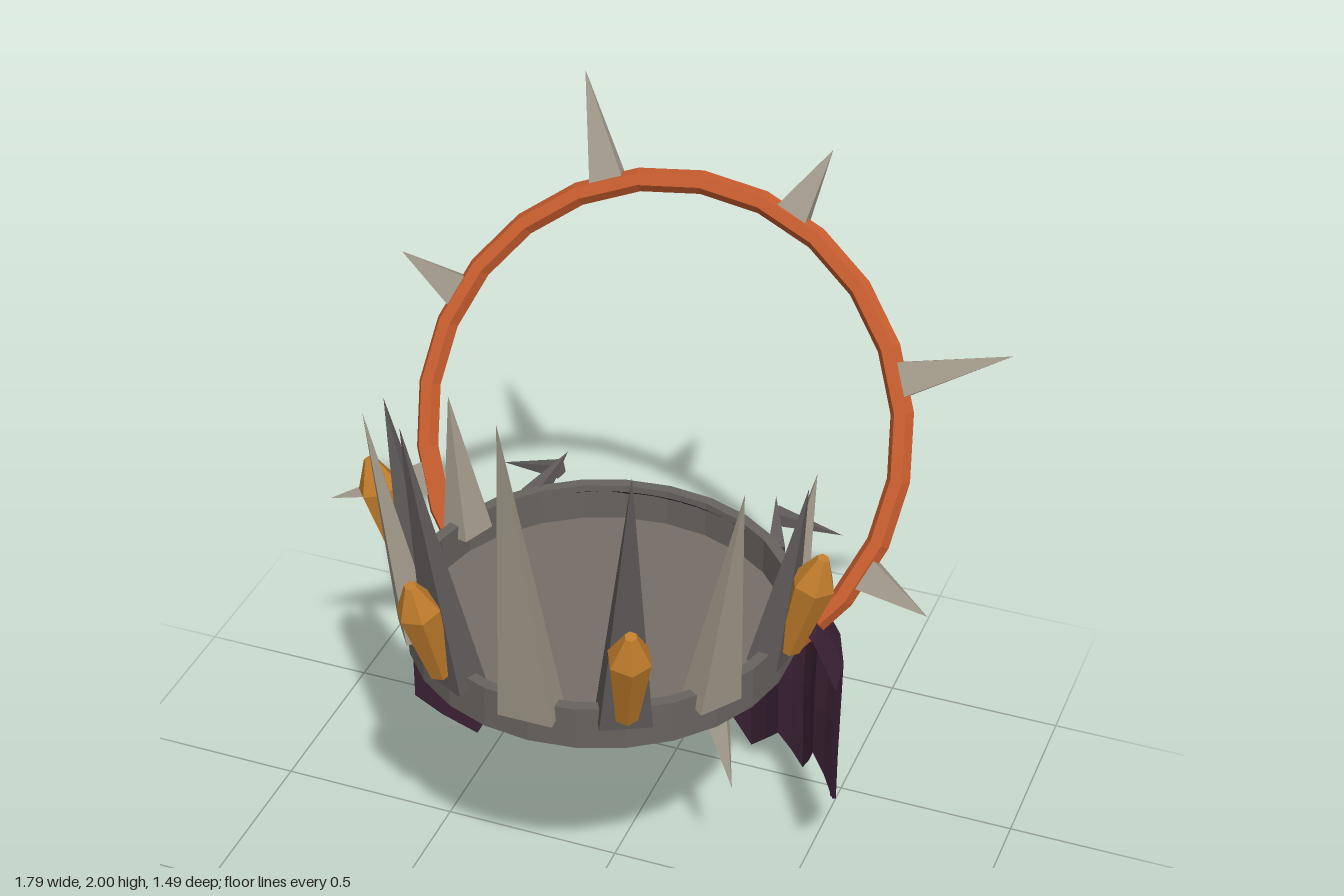
import * as THREE from 'three';

const mat = (name, color, side = THREE.FrontSide) =>
  new THREE.MeshStandardMaterial({ name, color, side, flatShading: true });

const V = (x, y, z) => new THREE.Vector3(x, y, z);
const rad = THREE.MathUtils.degToRad;

export function createModel() {
  const bone = mat('pale bone', 0xa09889);
  const iron = mat('dark iron', 0x605b5a);
  const bandGrey = mat('band grey', 0x67635f);
  const floorGrey = mat('inner grey', 0x756d68);
  const copper = mat('copper orange', 0xc55c2e);
  const amber = mat('amber', 0xc17d2c);
  const purple = mat('purple cloth', 0x3e2337, THREE.DoubleSide);

  const model = new THREE.Group();
  const add = (parent, name, geometry, material) => {
    const mesh = new THREE.Mesh(geometry, material);
    mesh.name = name;
    parent.add(mesh);
    return mesh;
  };

  // four-sided spike running from base to tip; depth is measured towards up
  const spike = (name, base, tip, width, depth, material, up = V(0, 1, 0)) => {
    const g = new THREE.ConeGeometry(Math.SQRT1_2, 1, 4)
      .rotateY(Math.PI / 4).translate(0, 0.5, 0).rotateX(Math.PI / 2);
    const mesh = add(model, name, g, material);
    mesh.position.copy(base);
    mesh.up.copy(up);
    mesh.lookAt(tip);
    mesh.scale.set(width, depth, base.distanceTo(tip));
  };

  // band with a sunken floor
  const crownZ = 0.09;
  const band = add(model, 'crownBand', new THREE.LatheGeometry([
    [0, 0.838], [0.495, 0.838], [0.51, 0.85], [0.51, 0.97], [0.48, 0.97], [0.48, 0.86],
  ].map(([x, y]) => new THREE.Vector2(x, y)), 26), bandGrey);
  band.position.z = crownZ;
  const floor = add(model, 'crownFloor', new THREE.CircleGeometry(0.485, 26).rotateX(-Math.PI / 2), floorGrey);
  floor.position.set(0, 0.865, crownZ);

  // upright spikes, tallest in front and shrinking towards the back
  const around = (r, y, a) => V(Math.sin(a) * r, y, Math.cos(a) * r + crownZ);
  const step = (Math.PI * 2) / 13;
  for (let i = -4; i <= 4; i++) {
    const n = Math.abs(i);
    spike('crownSpike', around(0.485, 0.93, i * step), around(0.655 - n * 0.028, 1.87 - n * 0.135, i * step),
      0.145 - n * 0.011, 0.085, n % 2 ? iron : bone);
  }

  // pointed crystals in front of the dark spikes
  const gemShape = [[0, 0], [0.032, 0], [0.058, 0.23], [0.016, 0.315], [0, 0.315]]
    .map(([x, y]) => new THREE.Vector2(x, y));
  for (const i of [-3, -1, 1, 3]) {
    const gem = add(model, 'crystal', new THREE.LatheGeometry(gemShape, 6), amber);
    gem.position.copy(around(0.533, 0.97, i * step));
    gem.rotation.set(0.27, i * step, 0, 'YXZ');
  }

  // bent hooks that hold the cape at the back
  for (const s of [-1, 1]) {
    spike('capeHook', V(s * 0.35, 0.93, -0.28), V(s * 0.3, 1.01, -0.42), 0.045, 0.07, iron);
    spike('capeHookTip', V(s * 0.31, 0.97, -0.39), V(s * 0.49, 0.93, -0.42), 0.04, 0.04, iron);
  }

  // tilted ring with eight flat radial spikes
  const tilt = rad(28), ringCentre = V(0, 1.21, -0.322), ringR = 0.66;
  const ring = add(model, 'ring', new THREE.TorusGeometry(ringR, 0.031, 6, 24), copper);
  ring.rotation.x = -tilt;
  ring.position.copy(ringCentre);
  const ringNormal = V(0, Math.sin(tilt), Math.cos(tilt));
  const onRing = (r, a) => V(Math.cos(a) * r, Math.sin(a) * r, 0)
    .applyAxisAngle(V(1, 0, 0), -tilt).add(ringCentre);
  for (let k = 0; k < 8; k++) {
    const a = rad(22.5 + 45 * k);
    spike('ringSpike', onRing(ringR, a), onRing(k % 2 ? 0.868 : 0.968, a), 0.095, 0.045, bone, ringNormal);
  }

  model.add(makeCape(purple, crownZ));
  return model;
}

// ragged cape: columns around the back, each a short profile from hem to collar
function makeCape(material, crownZ) {
  // angle from the back in degrees, hem height
  const hem = [[-90, 0.37], [-61, 0.06], [-50, 0.22], [-41, 0.13], [-32, 0.2], [-20.5, 0.04], [-11.5, 0.18],
    [0, 0], [11.5, 0.21], [20.5, 0.05], [33, 0.19], [41, 0.1], [51, 0.24], [61, 0.14], [90, 0.37]];
  const columns = [];
  hem.forEach(([a, y], i) => {
    columns.push([a, y]);
    const next = hem[i + 1];
    if (next) columns.push([(a + next[0]) / 2, (y + next[1]) / 2]);
  });
  const positions = [], index = [], rows = 5;
  columns.forEach(([deg, hemY], i) => {
    const a = rad(deg), c = Math.cos(a);
    const fold = i % 4 === 2 ? 0.01 : i % 4 === 0 && Math.abs(deg) < 90 ? -0.014 : 0;
    const drop = (0.37 - hemY) / 0.37;
    const profile = [
      [hemY, 0.605, 0.495 + 0.045 * drop],
      [0.41, 0.605, 0.495],
      [0.72, 0.608, 0.495],
      [0.86, 0.54, 0.435],
    ];
    profile.forEach(([y, w, d]) =>
      positions.push(Math.sin(a) * (w + fold), y, -0.025 - c * (d + fold)));
    // collar tucked through the band at the back
    const r = 0.507 - 0.035 * c, t = a * 0.89;
    positions.push(Math.sin(t) * r, 0.935 + 0.02 * c, crownZ - Math.cos(t) * r);
    if (i) for (let j = 0; j < rows - 1; j++) {
      const p = (i - 1) * rows + j, q = i * rows + j;
      index.push(p, p + 1, q, q, p + 1, q + 1);
    }
  });
  const g = new THREE.BufferGeometry();
  g.setAttribute('position', new THREE.Float32BufferAttribute(positions, 3));
  g.setIndex(index);
  g.computeVertexNormals();
  const cape = new THREE.Mesh(g, material);
  cape.name = 'cape';
  return cape;
}
